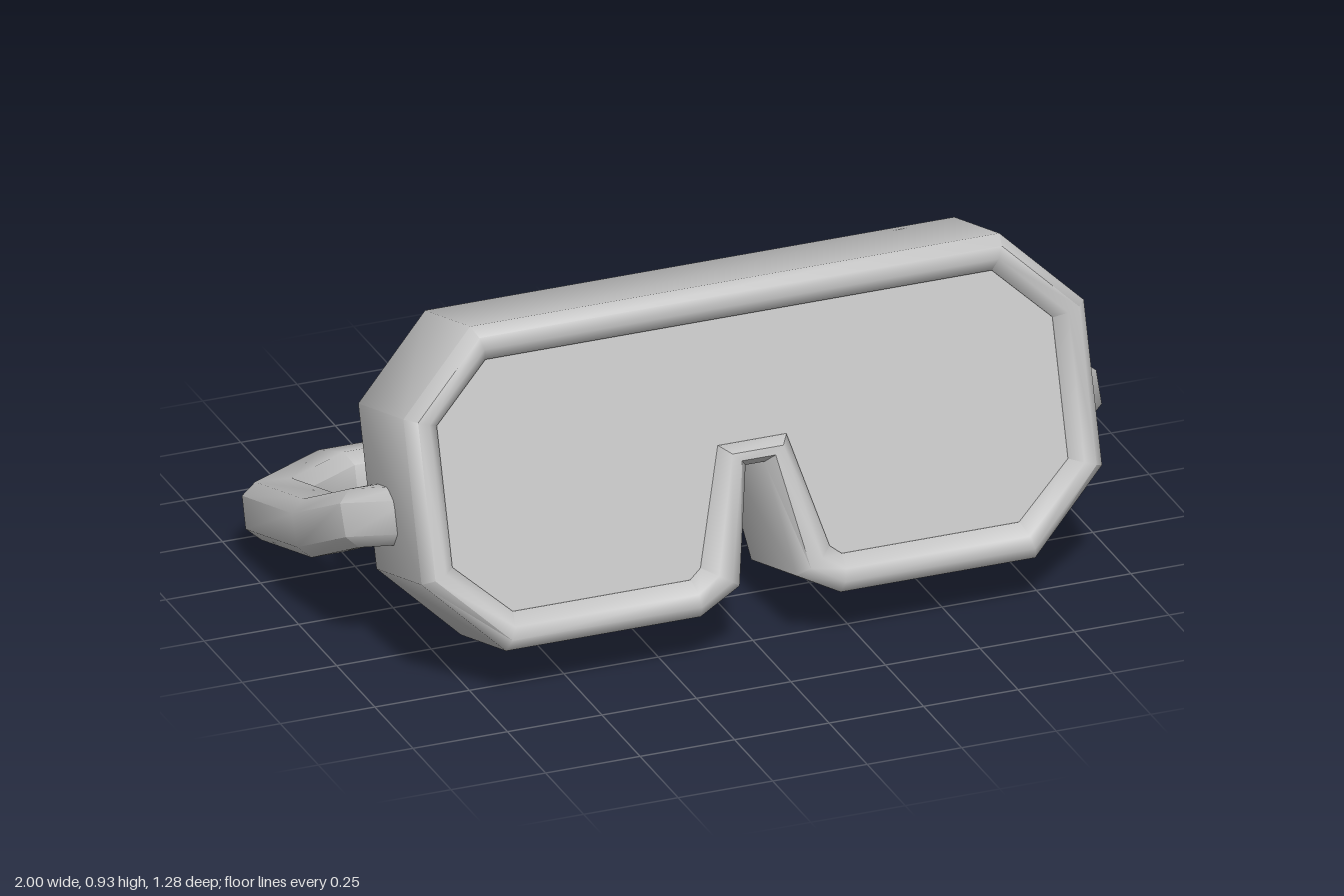
import * as THREE from 'three';
import { toCreasedNormals } from 'three/addons/utils/BufferGeometryUtils.js';

// Skin a list of closed rings; optionally join the last ring to the first
function skin(rings, closed) {
  const m = rings[0].length, n = rings.length, index = [];
  for (let i = 0; i < (closed ? n : n - 1); i++) {
    for (let j = 0; j < m; j++) {
      const a = i * m + j, b = i * m + (j + 1) % m;
      const c = ((i + 1) % n) * m + j, d = ((i + 1) % n) * m + (j + 1) % m;
      index.push(a, b, c, b, d, c);
    }
  }
  const g = new THREE.BufferGeometry();
  g.setAttribute('position', new THREE.Float32BufferAttribute(rings.flat().flatMap(p => p.toArray()), 3));
  g.setIndex(index);
  return toCreasedNormals(g, 0.9);
}

// Complete a right-hand outline with its mirror image
const mirrorOutline = half => [...half, ...half.map(([x, y]) => [-x, y]).reverse()];

export function createModel() {
  const model = new THREE.Group();
  model.name = 'goggles';
  const grey = new THREE.MeshStandardMaterial({ color: 0xc4c4c4 });
  grey.name = 'light grey';
  const add = (parent, name, geometry) => {
    const mesh = new THREE.Mesh(geometry, grey);
    mesh.name = name;
    parent.add(mesh);
  };

  // Mask leans backward
  const mask = new THREE.Group();
  mask.name = 'mask';
  mask.rotation.x = -0.293;
  model.add(mask);

  // Chamfered outline with a nose notch, outer and inner edge
  const outer = mirrorOutline([[0.7, 0.785], [0.9, 0.585], [0.9, 0.17], [0.7, -0.029],
    [0.185, -0.029], [0.075, 0.03], [0.025, 0.325]]);
  const inner = mirrorOutline([[0.67, 0.697], [0.815, 0.555], [0.815, 0.2], [0.67, 0.065],
    [0.2, 0.065], [0.17, 0.09], [0.09, 0.384]]);

  // Frame section: share of the way from outer to inner edge, and depth
  const wall = [[0, 0.326], [0, 0.635], [0.3, 0.667], [0.65, 0.667],
    [1, 0.635], [1, 0.326], [0.65, 0.292], [0.3, 0.292]];
  add(mask, 'frame', skin(outer.map(([x, y], i) => wall.map(([t, w]) => new THREE.Vector3(
    THREE.MathUtils.lerp(x, inner[i][0], t), THREE.MathUtils.lerp(y, inner[i][1], t), w))), true));

  // Flat lens filling the inner edge
  const lens = new THREE.ExtrudeGeometry(
    new THREE.Shape(inner.map(([x, y]) => new THREE.Vector2(x, y))), { depth: 0.02, bevelEnabled: false });
  lens.translate(0, 0, 0.61);
  add(mask, 'lens', lens);

  // Strap centre line: x, y, z and the tilt of the section at that point
  const half = [[0.87, 0.44, 0.345, 0.3], [0.925, 0.41, 0.27, 0.45], [0.925, 0.25, -0.025, 0.4],
    [0.925, 0.157, -0.33, 0.293], [0.68, 0.087, -0.562, 0.293]];
  const path = [...half, ...half.map(([x, ...rest]) => [-x, ...rest]).reverse()];
  const points = path.map(p => new THREE.Vector3(p[0], p[1], p[2]));

  // Bevelled square section: outward and upward offsets
  const a = 0.075, b = 0.073, c = 0.042;
  const section = [[a, c], [a, -c], [c, -b], [-c, -b], [-a, -c], [-a, c], [-c, b], [c, b]];
  const last = points.length - 1;
  const strap = points.map((p, i) => {
    const tangent = new THREE.Vector3(1, 0, 0);
    let mitre = 1;
    if (i > 0 && i < last) {
      const before = p.clone().sub(points[i - 1]).normalize();
      const after = points[i + 1].clone().sub(p).normalize();
      tangent.copy(before).add(after).normalize();
      mitre = 1 / tangent.dot(before);
    }
    const up = new THREE.Vector3(0, Math.cos(path[i][3]), -Math.sin(path[i][3]));
    const out = tangent.clone().cross(up).normalize();
    return section.map(([o, u]) => p.clone().addScaledVector(out, o * mitre).addScaledVector(up, u));
  });
  add(model, 'strap', skin(strap, false));

  return model;
}
